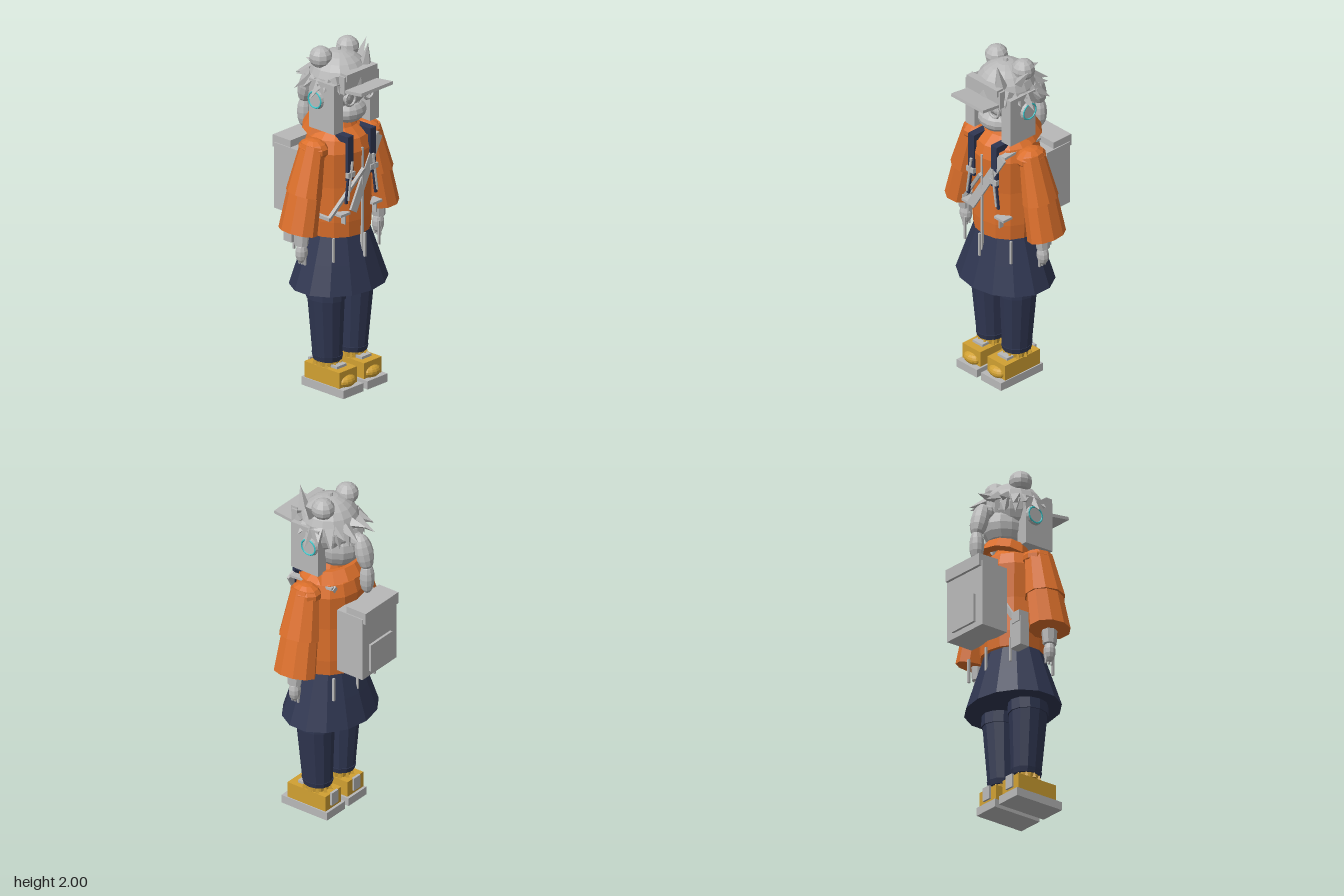
import * as THREE from 'three';

const mat = (name, color) => {
  const m = new THREE.MeshStandardMaterial({ color });
  m.name = name;
  return m;
};
const V = (x, y, z) => new THREE.Vector3(x, y, z);

export function createModel() {
  const root = new THREE.Group();
  const grey = mat('light grey', 0xb8b8b8);
  const orange = mat('jacket orange', 0xdb6f2b);
  const navy = mat('cloth navy', 0x2f3651);
  const gold = mat('boot gold', 0xd0a032);
  const teal = mat('glow teal', 0x3cc4c8);

  // Faceted mesh
  const add = (name, geo, material, x = 0, y = 0, z = 0) => {
    const g = geo.index ? geo.toNonIndexed() : geo;
    g.computeVertexNormals();
    const m = new THREE.Mesh(g, material);
    m.name = name;
    m.position.set(x, y, z);
    root.add(m);
    return m;
  };
  // Box given by its limits
  const box = (name, material, x0, x1, y0, y1, z0, z1) =>
    add(name, new THREE.BoxGeometry(Math.abs(x1 - x0), y1 - y0, z1 - z0), material,
      (x0 + x1) / 2, (y0 + y1) / 2, (z0 + z1) / 2);
  const ball = (name, material, x, y, z, rx, ry = rx, rz = rx, ws = 12, hs = 9) =>
    add(name, new THREE.SphereGeometry(1, ws, hs).scale(rx, ry, rz), material, x, y, z);
  const aim = (m, a, b) => {
    m.position.copy(a).add(b).multiplyScalar(0.5);
    m.quaternion.setFromUnitVectors(V(0, 1, 0), b.clone().sub(a).normalize());
    return m;
  };
  // Round limb from a to b, stretched in depth
  const limb = (name, material, a, b, ra, rb, sides = 10, depth = 1) =>
    aim(add(name, new THREE.CylinderGeometry(rb, ra, a.distanceTo(b), sides).scale(1, 1, depth), material), a, b);
  // Flat bar from a to b
  const bar = (name, material, a, b, w, d) =>
    aim(add(name, new THREE.BoxGeometry(w, a.distanceTo(b), d), material), a, b);
  const turned = (name, material, pts, sides, depth, z) =>
    add(name, new THREE.LatheGeometry(pts.map(p => new THREE.Vector2(...p)), sides).scale(1, 1, depth), material, 0, 0, z);

  // Body
  turned('skirt', navy, [[0, 0.6], [0.297, 0.6], [0.24, 0.76], [0.182, 0.92], [0, 0.92]], 14, 0.83, 0.033);
  turned('jacket', orange, [[0, 0.91], [0.187, 0.91], [0.193, 1.0], [0.188, 1.2], [0.2, 1.4],
    [0.175, 1.47], [0.11, 1.52], [0.085, 1.57], [0, 1.57]], 14, 0.92, 0.03);
  const collar = turned('collar', orange, [[0.11, -0.03], [0.165, -0.035], [0.14, 0.035], [0.1, 0.035], [0.11, -0.03]], 12, 0.88, -0.025);
  collar.position.y = 1.505;
  collar.rotation.x = 0.28;
  box('zipper', grey, -0.006, 0.006, 0.79, 1.42, 0.2, 0.215);

  for (const s of [-1, 1]) {
    // Feet
    box('sole', grey, s * 0.017, s * 0.175, 0, 0.048, -0.08, 0.233);
    box('shoe', gold, s * 0.028, s * 0.168, 0.048, 0.14, -0.064, 0.196);
    ball('toeCap', gold, s * 0.098, 0.075, 0.185, 0.06, 0.036, 0.043);
    box('lace', grey, s * 0.06, s * 0.136, 0.14, 0.155, 0.1, 0.15);
    box('heelTab', grey, s * 0.07, s * 0.126, 0.07, 0.148, -0.077, -0.062);
    limb('ankleCuff', gold, V(s * 0.098, 0.13, 0.045), V(s * 0.098, 0.175, 0.045), 0.068, 0.072);
    for (let i = 0; i < 10; i++) {
      const a = i * Math.PI / 5, x = s * 0.098 + Math.cos(a) * 0.072, z = 0.045 + Math.sin(a) * 0.075;
      limb('cuffTuft', gold, V(x, 0.14, z), V(x, 0.185, z), 0.014, 0, 4);
    }
    // Legs
    limb('trouserLeg', navy, V(s * 0.1, 0.18, 0.043), V(s * 0.115, 0.56, 0.046), 0.078, 0.1, 12, 1.1);
    limb('trouserTop', navy, V(s * 0.115, 0.535, 0.046), V(s * 0.112, 0.64, 0.046), 0.104, 0.102, 12, 1.12);
    limb('trouserHem', navy, V(s * 0.1, 0.17, 0.043), V(s * 0.1, 0.2, 0.043), 0.076, 0.083, 12, 1.1);

    // Arms
    ball('shoulder', orange, s * 0.208, 1.425, 0.04, 0.075, 0.06, 0.095, 10, 7);
    limb('upperSleeve', orange, V(s * 0.212, 1.45, 0.04), V(s * 0.276, 1.18, 0.033), 0.062, 0.09, 10, 1.32);
    limb('lowerSleeve', orange, V(s * 0.27, 1.2, 0.033), V(s * 0.32, 0.97, 0.03), 0.08, 0.092, 10, 1.36);
    limb('wristCuff', grey, V(s * 0.3, 1.0, 0.042), V(s * 0.306, 0.89, 0.042), 0.042, 0.034, 8, 1.2);
    ball('hand', grey, s * 0.303, 0.845, 0.042, 0.036, 0.06, 0.034, 10, 7);
    for (let i = 0; i < 3; i++) {
      const z = 0.022 + i * 0.02;
      limb('finger', grey, V(s * 0.301, 0.83, z), V(s * 0.297, 0.775, z), 0.012, 0.007, 6);
    }

    // Backpack straps and pulls
    box('shoulderStrap', navy, s * 0.066, s * 0.112, 1.25, 1.505, 0.19, 0.207);
    box('strapTop', navy, s * 0.066, s * 0.112, 1.47, 1.508, 0.09, 0.205);
    bar('strapBack', navy, V(s * 0.089, 1.49, 0.1), V(s * 0.09, 1.3, -0.14), 0.045, 0.015);
    box('buckle', grey, s * 0.062, s * 0.118, 1.27, 1.3, 0.195, 0.218);
    limb('pull', grey, V(s * 0.082, 1.36, 0.213), V(s * 0.115, 1.14, 0.214), 0.008, 0.006, 6);
    bar('strapTail', navy, V(s * 0.1, 1.26, 0.2), V(s * 0.118, 1.12, 0.2), 0.016, 0.012);
    box('pocketTrim', grey, s * 0.09, s * 0.165, 1.052, 1.066, 0.14, 0.206);
    box('pocketCord', grey, s * 0.118, s * 0.126, 1.0, 1.055, 0.17, 0.2);
    for (const z of [0.165, -0.13]) box('hemCord', grey, s * 0.174, s * 0.186, 0.785, 0.925, z - 0.006, z + 0.006);

    // Side panels and earphones
    box('sidePanel', grey, s * 0.107, s * 0.178, 1.53, 1.815, -0.022, 0.166);
    const cup = add('earCup', new THREE.CylinderGeometry(0.052, 0.058, 0.02, 16), grey, s * 0.182, 1.705, 0.035);
    cup.rotation.z = -s * Math.PI / 2;
    const ring = add('earRing', new THREE.TorusGeometry(0.046, 0.005, 6, 20), teal, s * 0.192, 1.705, 0.035);
    ring.rotation.y = Math.PI / 2;

    // Glasses and hair buns
    add('glassesRim', new THREE.TorusGeometry(0.038, 0.008, 6, 16), grey, s * 0.072, 1.718, 0.19);
    ball('eye', grey, s * 0.072, 1.718, 0.165, 0.03, 0.03, 0.02);
    ball('hairBun', grey, s * 0.106, 1.922, 0, 0.064, 0.062, 0.066, 10, 8);
  }
  for (const z of [0.228, -0.155]) box('hemCord', grey, -0.006, 0.006, 0.785, 0.925, z - 0.006, z + 0.006);

  // Head
  ball('hairCap', grey, 0, 1.78, 0.035, 0.17, 0.168, 0.172, 16, 12);
  ball('head', grey, 0, 1.665, 0.005, 0.125, 0.135, 0.16, 14, 10);
  ball('muzzle', grey, 0, 1.612, 0.115, 0.106, 0.066, 0.08, 14, 8);
  box('glassesBridge', grey, -0.036, 0.036, 1.718, 1.73, 0.185, 0.197);
  box('visorBand', grey, -0.13, 0.13, 1.76, 1.862, 0.16, 0.2);
  box('bandTrim', grey, -0.12, 0.12, 1.835, 1.875, 0.165, 0.21);
  const brim = box('visorBrim', grey, -0.125, 0.125, 1.775, 1.793, 0.19, 0.322);
  brim.rotation.x = -0.12;
  add('topButton', new THREE.CylinderGeometry(0.012, 0.017, 0.02, 6), grey, 0, 1.953, 0.032);

  // Swept spikes around the hairline, two rows
  for (let i = 0; i < 13; i++) {
    const a = (i / 12 - 0.5) * 3.9, sn = Math.sin(a), c = -Math.cos(a);
    const drop = Math.abs(sn) * 0.07, r = 0.232 + (i % 2) * 0.018;
    limb('hairSpike', grey, V(sn * 0.15, 1.825 - drop * 0.3, 0.035 + c * 0.15),
      V(sn * (r - 0.02), 1.83 - drop - (i % 2) * 0.04, 0.02 + c * r), 0.036, 0, 4);
    limb('hairFringe', grey, V(sn * 0.155, 1.79, 0.035 + c * 0.155),
      V(sn * 0.18, 1.71, 0.035 + c * 0.19), 0.036, 0, 4);
  }
  limb('frontSpike', grey, V(0.085, 1.86, 0.15), V(0.083, 2.0, 0.175), 0.038, 0, 5);
  limb('sideSpike', grey, V(0.13, 1.87, 0.06), V(0.203, 1.965, 0.05), 0.03, 0, 4);
  for (const s of [-1, 1]) limb('templeSpike', grey, V(s * 0.13, 1.84, 0.13), V(s * 0.15, 1.76, 0.185), 0.03, 0, 4);

  // Braid
  ball('braidTie', grey, 0, 1.73, -0.15, 0.045, 0.045, 0.05, 8, 6);
  const upper = ball('braidUpper', grey, 0, 1.67, -0.2, 0.054, 0.108, 0.05, 10, 8);
  upper.rotation.x = 0.25;
  ball('braidLower', grey, 0, 1.515, -0.22, 0.043, 0.095, 0.042, 10, 8);

  // Backpack
  box('backpack', grey, -0.152, 0.152, 0.967, 1.35, -0.305, -0.132);
  box('backpackLid', grey, -0.145, 0.145, 1.32, 1.39, -0.322, -0.19);
  box('backpackPocket', grey, -0.095, 0.095, 1.0, 1.165, -0.32, -0.3);

  // Crossbody strap and pouch
  bar('sash', grey, V(-0.08, 1.07, 0.215), V(0.145, 1.45, 0.195), 0.052, 0.014);
  bar('sashEdge', grey, V(-0.2, 1.04, 0.15), V(0.0, 1.3, 0.222), 0.018, 0.02);
  bar('sashBack', grey, V(0.13, 1.46, -0.09), V(-0.19, 1.05, -0.12), 0.03, 0.014);
  bar('sashShoulder', grey, V(0.14, 1.45, 0.19), V(0.13, 1.46, -0.09), 0.04, 0.014);
  bar('sashSide', grey, V(-0.2, 1.04, 0.16), V(-0.21, 1.05, -0.1), 0.02, 0.02);
  box('pouch', grey, -0.265, -0.175, 0.86, 1.03, -0.13, -0.07);
  box('pouchFlap', grey, -0.262, -0.195, 1.0, 1.065, -0.136, -0.064);

  return root;
}
